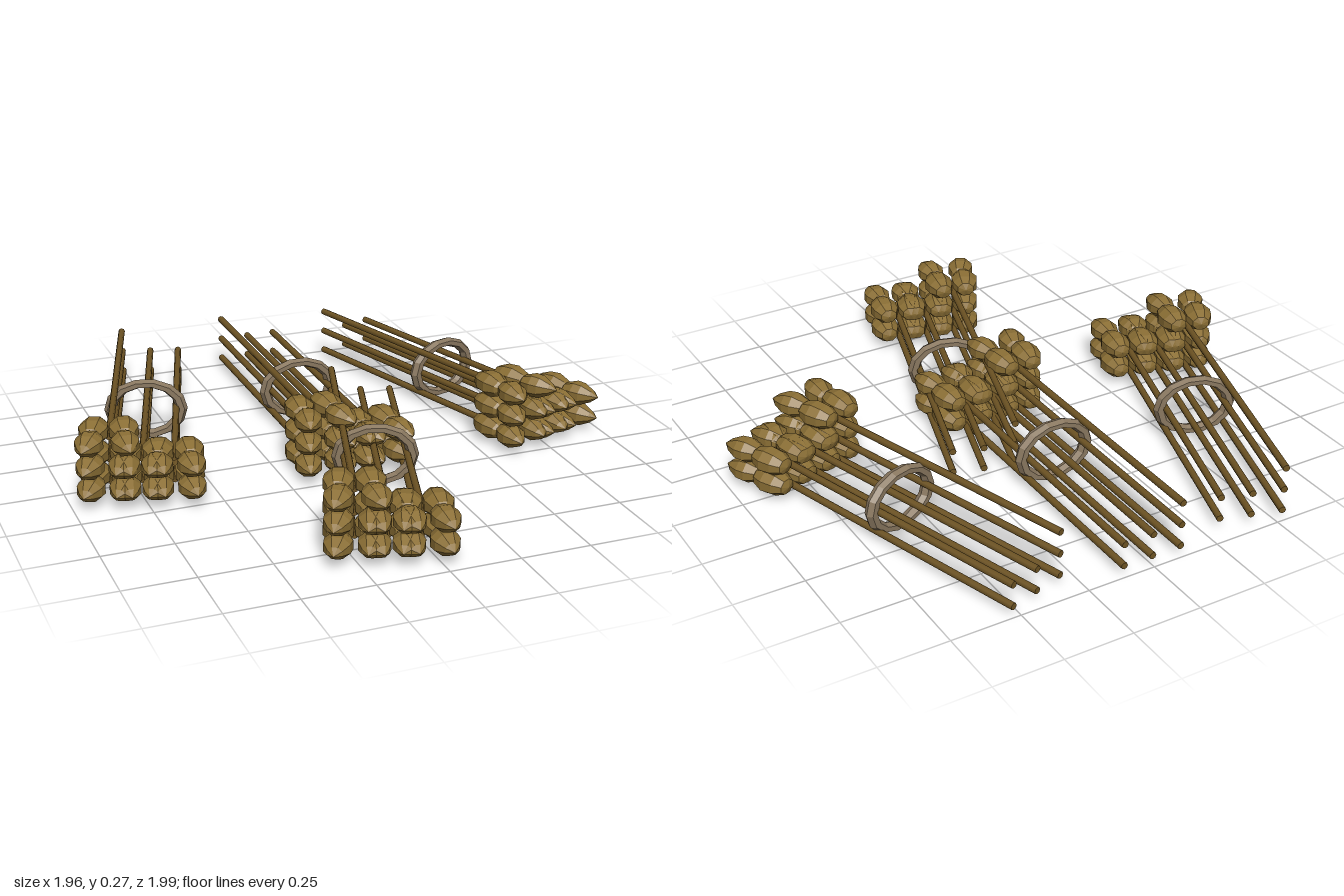
import * as THREE from 'three';

const mat = (name, color, flatShading = false) => {
  const m = new THREE.MeshStandardMaterial({ color, flatShading });
  m.name = name;
  return m;
};

export function createModel() {
  const grainMat = mat('grain gold', 0x8b6f35, true);
  const stemMat = mat('straw brown', 0x6e5424);
  const tieMat = mat('twine grey', 0x8a7860, true);

  // Kernel along +z: blunt base, pointed tip
  const makeGrain = (length, points) => {
    const profile = points.map(([r, t]) => new THREE.Vector2(r, (t - 0.5) * length));
    return new THREE.LatheGeometry(profile, 8, Math.PI / 8)
      .rotateX(Math.PI / 2)
      .scale(1.08, 0.92, 1);
  };
  const backGrain = makeGrain(0.16, [[0, 0], [0.03, 0.06], [0.046, 0.28], [0.05, 0.55], [0.034, 0.82], [0, 1]]);
  const frontGrain = makeGrain(0.16, [[0, 0], [0.032, 0.15], [0.047, 0.4], [0.044, 0.6], [0.024, 0.84], [0, 1]]);

  const stemGeo = new THREE.CylinderGeometry(0.0125, 0.0125, 1.07, 8).rotateX(Math.PI / 2);
  const tieGeo = new THREE.TorusGeometry(0.131, 0.022, 6, 14).scale(1, 0.765, 1.05);

  // One stalk: stem plus a head of two pairs of kernels
  const makeStalk = (x, y) => {
    const stalk = new THREE.Group();
    stalk.name = 'stalk';
    stalk.position.set(x, y, 0);
    const stem = new THREE.Mesh(stemGeo, stemMat);
    stem.name = 'stem';
    stem.position.z = -0.455;
    stalk.add(stem);
    for (const side of [-1, 1]) {
      const back = new THREE.Mesh(backGrain, grainMat);
      back.name = 'backGrain';
      back.position.set(side * 0.052, 0.021, 0.075);
      back.rotation.y = side * 0.12;
      const front = new THREE.Mesh(frontGrain, grainMat);
      front.name = 'frontGrain';
      front.position.set(side * 0.062, 0.021, 0.192);
      front.rotation.y = side * 0.25;
      stalk.add(back, front);
    }
    return stalk;
  };

  // Sheaf: two full rows of three stalks and a single one on top, held by a tie
  const makeSheaf = (x, z, turn) => {
    const sheaf = new THREE.Group();
    sheaf.name = 'sheaf';
    for (const y of [0.04, 0.122]) {
      for (const sx of [-0.11, 0, 0.11]) sheaf.add(makeStalk(sx, y));
    }
    sheaf.add(makeStalk(-0.11, 0.205));
    const tie = new THREE.Mesh(tieGeo, tieMat);
    tie.name = 'tie';
    tie.position.set(0, 0.117, -0.385);
    sheaf.add(tie);
    sheaf.position.set(x, 0, z);
    sheaf.rotation.y = turn;
    return sheaf;
  };

  const model = new THREE.Group();
  model.name = 'grainSheaves';
  model.add(
    makeSheaf(0, 0, 0),
    makeSheaf(-0.71, -0.015, -0.3),
    makeSheaf(0.71, -0.015, 0.3),
    makeSheaf(-0.085, 0.68, -0.3),
  );
  return model;
}
